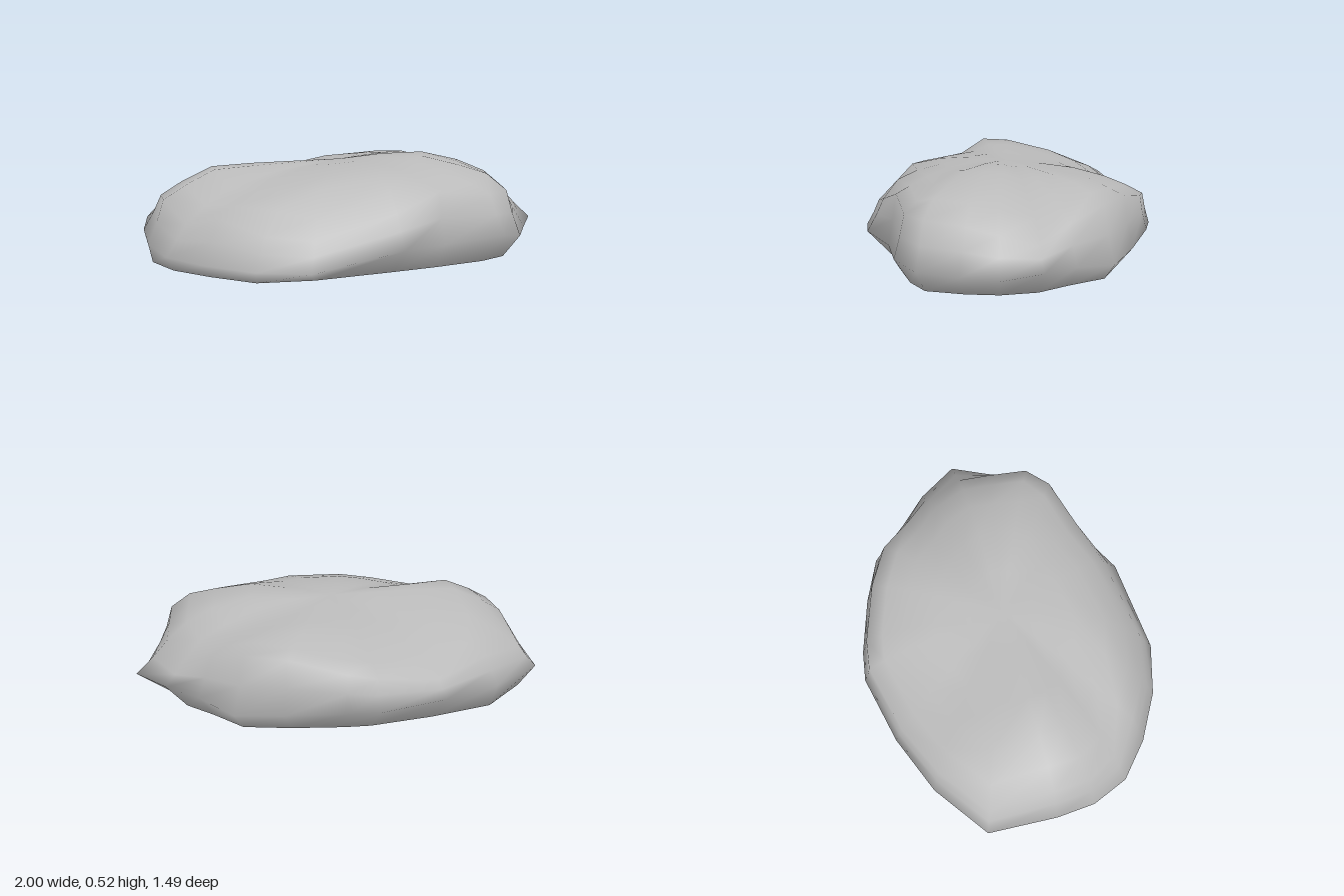
import * as THREE from 'three';
import { mergeVertices } from 'three/addons/utils/BufferGeometryUtils.js';

// Widest outline, counter-clockwise from above:
// x, z, height of the widest point, shoulder scale, base scale, shoulder drop
const OUTLINE = [
  [1, 0, 0.15, 0.84, 0.82, 0],
  [0.88, -0.2, 0.15, 0.9, 0.88, 0.07],
  [0.74, -0.35, 0.14, 0.91, 0.9, 0.08],
  [0.6, -0.53, 0.11, 0.9, 0.92, 0.02],
  [0.38, -0.63, 0.13, 0.93, 0.88, 0.01],
  [0.1, -0.72, 0.15, 0.95, 0.84, 0],
  [-0.05, -0.745, 0.15, 0.95, 0.83, 0],
  [-0.4, -0.67, 0.15, 0.94, 0.88, 0.1],
  [-0.7, -0.55, 0.14, 0.93, 0.96, 0.09],
  [-0.98, -0.35, 0.14, 0.92, 0.92, 0.05],
  [-1, 0, 0.15, 0.91, 0.97, 0],
  [-0.98, 0.2, 0.12, 0.92, 0.98, 0],
  [-0.9, 0.39, 0.1, 0.89, 0.96, 0.13],
  [-0.73, 0.54, 0.09, 0.9, 0.96, 0.11],
  [-0.5, 0.67, 0.08, 0.91, 0.99, 0.05],
  [-0.25, 0.74, 0.08, 0.91, 0.89, 0],
  [0.2, 0.68, 0.16, 0.88, 0.83, 0],
  [0.42, 0.55, 0.15, 0.93, 0.92, 0.05],
  [0.73, 0.49, 0.17, 0.91, 0.87, 0.04],
  [0.84, 0.38, 0.14, 0.92, 0.91, -0.01],
  [0.92, 0.18, 0.14, 0.88, 0.88, 0],
];

// Height profiles of the crown along x and along z
const ALONG_X = [[-1, 0.2], [-0.91, 0.33], [-0.84, 0.38], [-0.64, 0.475], [0, 0.49],
  [0.25, 0.515], [0.42, 0.515], [0.69, 0.45], [0.84, 0.32], [0.88, 0.24], [1, 0.15]];
const ALONG_Z = [[-0.74, 0.28], [-0.71, 0.33], [-0.58, 0.4], [-0.39, 0.465], [-0.2, 0.48],
  [0, 0.51], [0.2, 0.515], [0.34, 0.495], [0.51, 0.45], [0.58, 0.35], [0.68, 0.24], [0.74, 0.15]];

function sample(profile, t) {
  for (let i = 1; i < profile.length; i++) {
    const [t0, y0] = profile[i - 1], [t1, y1] = profile[i];
    if (t <= t1) return THREE.MathUtils.lerp(y0, y1, Math.max(0, (t - t0) / (t1 - t0)));
  }
  return profile[profile.length - 1][1];
}

const crown = (x, z) => sample(ALONG_X, x) + sample(ALONG_Z, z) - 0.515;

function rockGeometry() {
  // Each ring turns an outline row into a point, from base centre to crown centre
  const base = (k, y) => ([x, z, , , b]) => [x * b * k, y, z * b * k];
  const top = (k) => ([x, z, , s, , drop]) =>
    [x * s * k, crown(x * s * k, z * s * k) - drop * k * k, z * s * k];
  const belly = ([x, z, y]) => [x, y, z];
  const flank = (row) => {
    const [x, z, y, s] = row;
    const k = (1 + s) / 2 - 0.005;
    return [x * k, (y + top(1)(row)[1]) / 2, z * k];
  };
  const rings = [base(0, 0), base(0.55, 0.006), base(0.92, 0.02), base(1, 0.03), belly, flank,
    top(1), top(0.88), top(0.72), top(0.5), top(0.25), top(0)];

  const n = OUTLINE.length, positions = [], index = [];
  for (const ring of rings) for (const row of OUTLINE) positions.push(...ring(row));
  for (let r = 0; r < rings.length - 1; r++) {
    for (let i = 0; i < n; i++) {
      const a = r * n + i, b = r * n + (i + 1) % n;
      index.push(a, b, b + n, a, b + n, a + n);
    }
  }
  const geometry = new THREE.BufferGeometry();
  geometry.setAttribute('position', new THREE.Float32BufferAttribute(positions, 3));
  geometry.setIndex(index);
  const merged = mergeVertices(geometry, 1e-4);
  merged.computeVertexNormals();
  return merged;
}

export function createModel() {
  const stone = new THREE.MeshStandardMaterial({ color: 0xbababa });
  stone.name = 'stone grey';
  const rock = new THREE.Mesh(rockGeometry(), stone);
  rock.name = 'rock';
  const group = new THREE.Group();
  group.name = 'flatRock';
  group.add(rock);
  return group;
}
